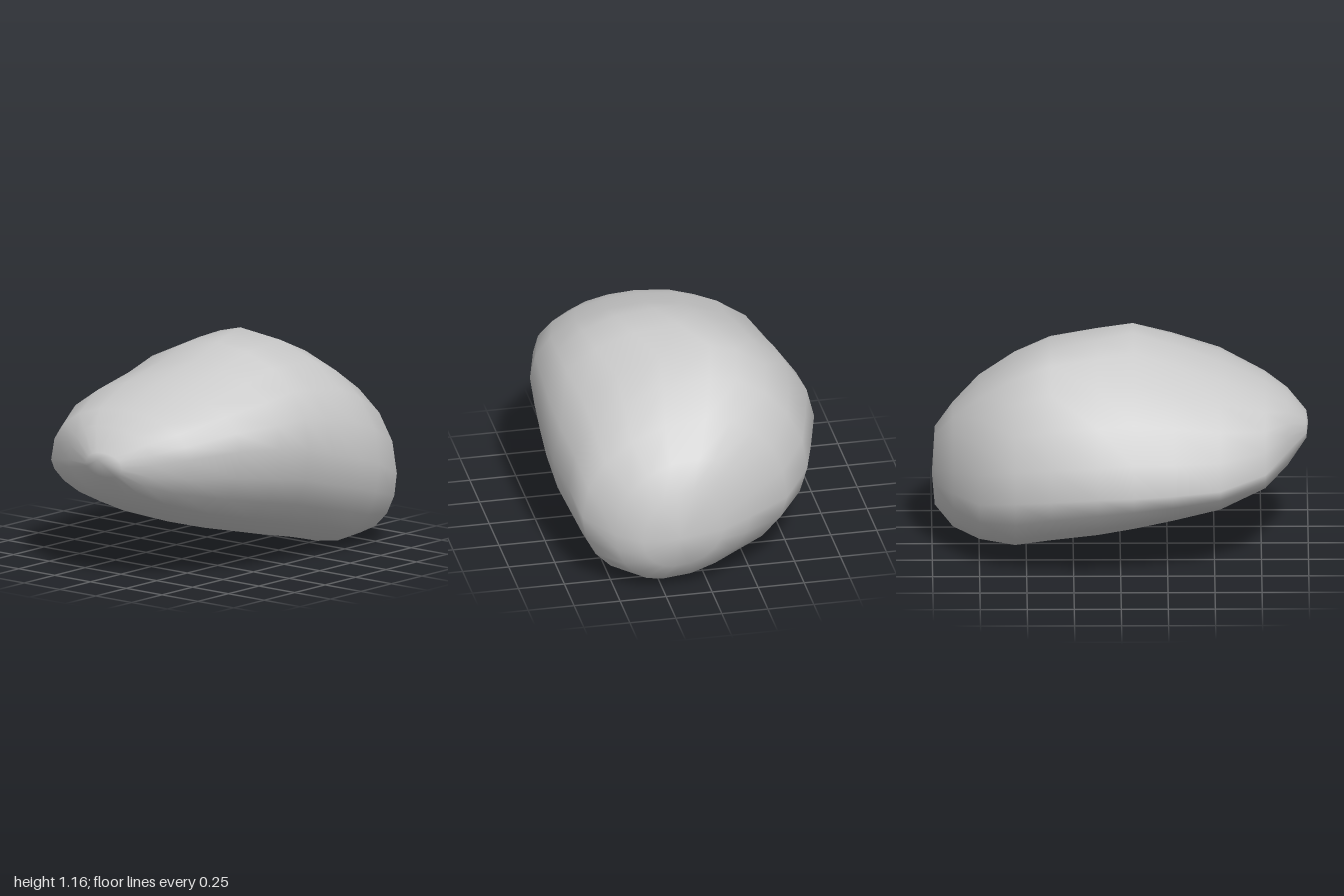
import * as THREE from 'three';

// Cross-sections along x, each described by its four extreme points and by
// exponents that shape its upper and lower back (below 1 is fuller):
// [x, topY, topZ, bottomY, bottomZ, frontZ, frontY, backZ, backY, upperBack, lowerBack]
const SECTIONS = [
  [-0.99, 0.71, 0.08, 0.58, 0.10, 0.21, 0.64, -0.04, 0.64, 0.9, 0.85],
  [-0.89, 0.83, 0.06, 0.46, 0.08, 0.34, 0.66, -0.25, 0.61, 0.85, 0.8],
  [-0.77, 0.90, 0.05, 0.37, 0.10, 0.49, 0.69, -0.47, 0.56, 0.9, 0.8],
  [-0.53, 1.01, 0.07, 0.27, 0.14, 0.65, 0.72, -0.64, 0.53, 1.0, 0.8],
  [-0.28, 1.09, 0.10, 0.20, 0.18, 0.72, 0.70, -0.685, 0.52, 1.08, 0.8],
  [-0.07, 1.16, 0.09, 0.15, 0.20, 0.735, 0.67, -0.725, 0.52, 1.12, 0.8],
  [0.12, 1.155, 0.00, 0.105, 0.22, 0.74, 0.61, -0.74, 0.52, 1.15, 0.83],
  [0.37, 1.14, -0.12, 0.05, 0.24, 0.73, 0.54, -0.67, 0.48, 1.15, 0.9],
  [0.56, 1.05, -0.08, 0.00, 0.26, 0.69, 0.48, -0.61, 0.45, 1.08, 0.98],
  [0.75, 0.91, -0.02, 0.015, 0.27, 0.65, 0.39, -0.46, 0.39, 1.0, 0.98],
  [0.89, 0.75, 0.05, 0.05, 0.25, 0.50, 0.34, -0.23, 0.37, 1.0, 0.95],
  [0.985, 0.61, 0.10, 0.17, 0.20, 0.37, 0.33, -0.06, 0.36, 1.0, 0.95],
];
const SIDES = 20;

// One closed ring: four superellipse quarters joined at the extreme points
function addRing(out, section) {
  const [x, topY, topZ, botY, botZ, frontZ, frontY, backZ, backY, upperBack, lowerBack] = section;
  for (let j = 0; j < SIDES; j++) {
    const a = (j / SIDES) * Math.PI * 2;
    const c = Math.cos(a), s = Math.sin(a);
    const front = c > 0, upper = s > 0;
    const zMid = upper ? topZ : botZ;
    const yMid = front ? frontY : backY;
    const zPower = front ? 0.95 : upper ? upperBack : lowerBack;
    // The lower back stays flat underneath and turns up late
    const yPower = !front && !upper ? 2 - lowerBack : zPower;
    const z = zMid + ((front ? frontZ : backZ) - zMid) * Math.abs(c) ** zPower;
    const y = yMid + ((upper ? topY : botY) - yMid) * Math.abs(s) ** yPower;
    out.push(x, y, z);
  }
}

function rockGeometry() {
  const positions = [], index = [];
  SECTIONS.forEach((section) => addRing(positions, section));

  // Skin between neighbouring rings
  for (let i = 0; i < SECTIONS.length - 1; i++) {
    for (let j = 0; j < SIDES; j++) {
      const k = (j + 1) % SIDES;
      const a = i * SIDES + j, c = i * SIDES + k;
      index.push(a, a + SIDES, c, a + SIDES, c + SIDES, c);
    }
  }

  // Blunt ends
  const last = (SECTIONS.length - 1) * SIDES;
  const rightTip = SECTIONS.length * SIDES, leftTip = rightTip + 1;
  positions.push(-1, 0.67, 0.05, 1, 0.34, 0.17);
  for (let j = 0; j < SIDES; j++) {
    const k = (j + 1) % SIDES;
    index.push(rightTip, j, k, leftTip, last + k, last + j);
  }

  const geometry = new THREE.BufferGeometry();
  geometry.setAttribute('position', new THREE.Float32BufferAttribute(positions, 3));
  geometry.setIndex(index);
  geometry.computeVertexNormals();
  return geometry;
}

export function createModel() {
  const group = new THREE.Group();
  group.name = 'boulder';
  const rock = new THREE.Mesh(rockGeometry(), new THREE.MeshStandardMaterial({ color: 0xcccccc }));
  rock.name = 'rock';
  group.add(rock);
  return group;
}
